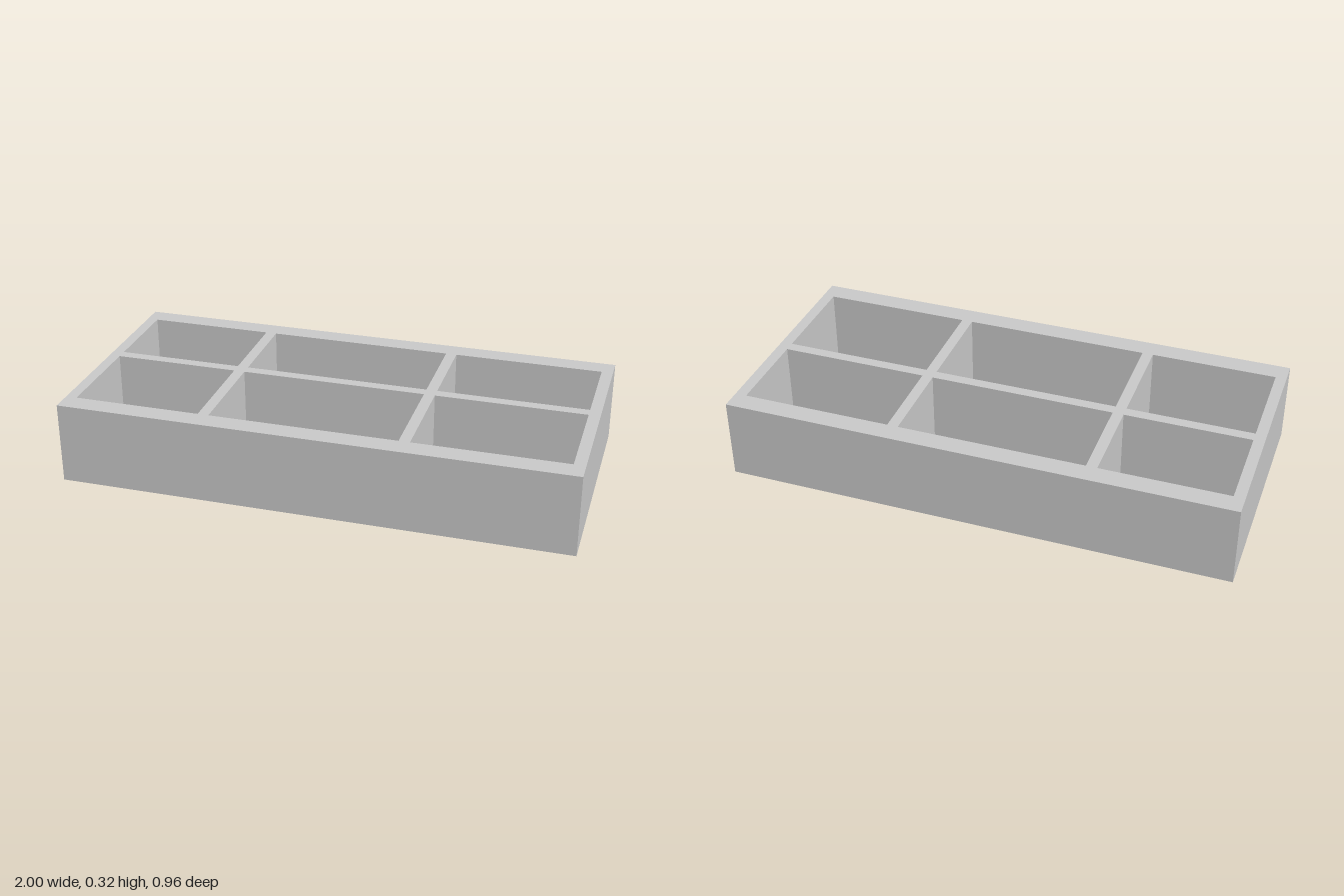
import * as THREE from 'three';

const HEIGHT = 0.323;
const HALF_WIDTH = 1;
const HALF_DEPTH = 0.48;

// Open compartments: [start, end] along x (columns) and z (rows)
const COLUMNS = [[-0.957, -0.459], [-0.416, 0.32], [0.363, 0.955]];
const ROWS = [[-0.4, -0.047], [-0.004, 0.397]];

function rectangle(PathType, x0, z0, x1, z1) {
  return new PathType([[x0, z0], [x1, z0], [x1, z1], [x0, z1]]
    .map(([x, z]) => new THREE.Vector2(x, z)));
}

export function createModel() {
  const group = new THREE.Group();
  group.name = 'dividedTray';

  // Outer frame and dividers, open at top and bottom
  const plan = rectangle(THREE.Shape, -HALF_WIDTH, -HALF_DEPTH, HALF_WIDTH, HALF_DEPTH);
  for (const [x0, x1] of COLUMNS) {
    for (const [z0, z1] of ROWS) plan.holes.push(rectangle(THREE.Path, x0, z0, x1, z1));
  }
  const geometry = new THREE.ExtrudeGeometry(plan, { depth: HEIGHT, bevelEnabled: false });
  geometry.rotateX(Math.PI / 2).translate(0, HEIGHT, 0); // plan y becomes z

  const frame = new THREE.Mesh(geometry, new THREE.MeshStandardMaterial({ color: 0xcccccc }));
  frame.name = 'compartmentFrame';
  group.add(frame);
  return group;
}
